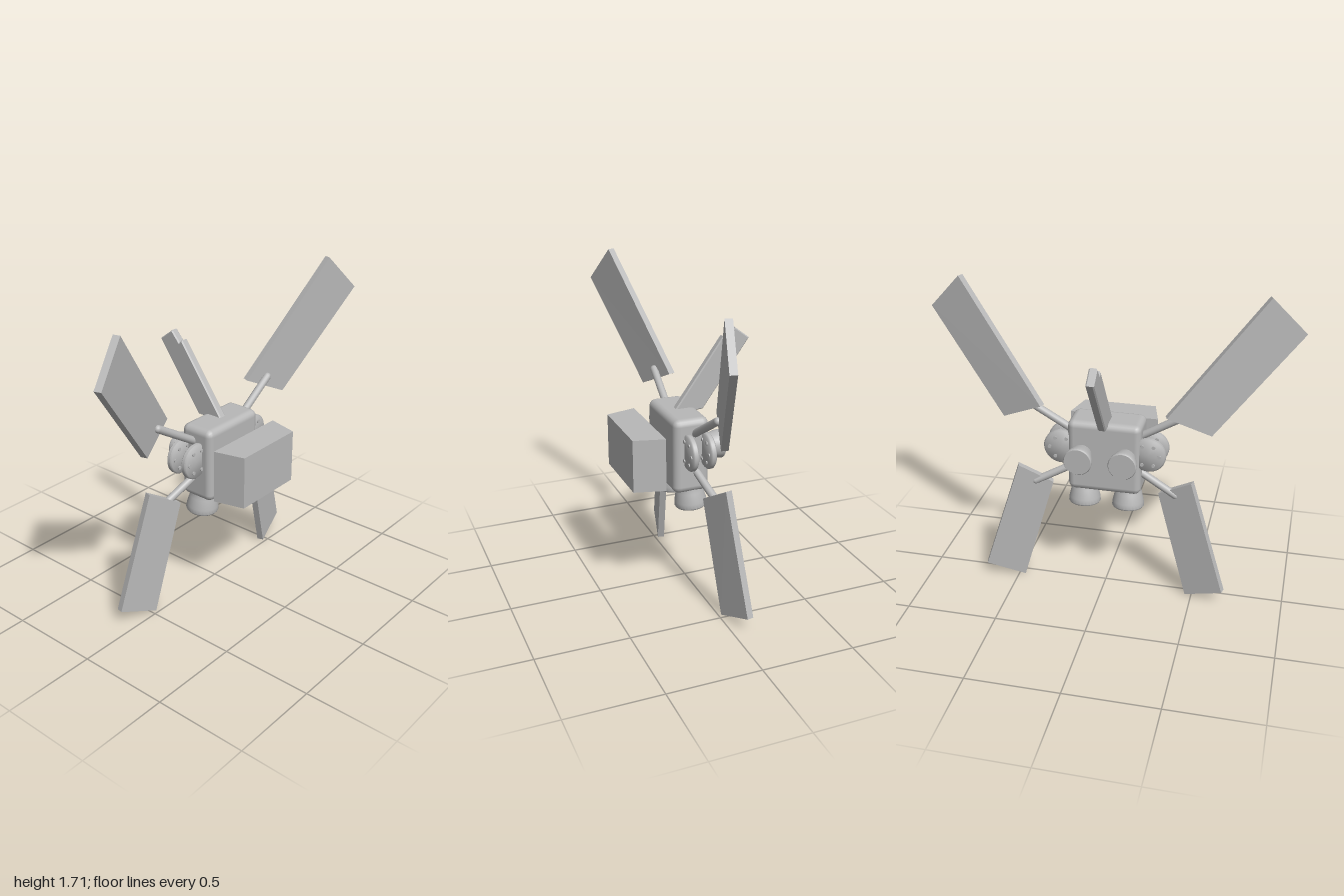
import * as THREE from 'three';
import { toCreasedNormals } from 'three/addons/utils/BufferGeometryUtils.js';
import { RoundedBoxGeometry } from 'three/addons/geometries/RoundedBoxGeometry.js';

const V = (x, y, z) => new THREE.Vector3(x, y, z);

// Flat slab behind four front corners (counter-clockwise seen from the front)
function slab(corners, thickness) {
  const [a, b, c] = corners;
  const n = b.clone().sub(a).cross(c.clone().sub(b)).normalize();
  const back = corners.map(p => p.clone().addScaledVector(n, -thickness));
  const points = [];
  const quad = (p, q, r, s) => points.push(p, q, r, p, r, s);
  quad(...corners);
  quad(back[3], back[2], back[1], back[0]);
  for (let i = 0; i < 4; i++) {
    const j = (i + 1) % 4;
    quad(corners[i], back[i], back[j], corners[j]);
  }
  const geo = new THREE.BufferGeometry().setFromPoints(points);
  geo.computeVertexNormals();
  return geo;
}

// Bell nozzle: narrow base at the origin, wide exit at -h on y
function nozzle(r0, r1, h) {
  const profile = [
    [0, -h], [r1 * 0.94, -h], [r1, -h * 0.93], [r1 * 0.97, -h * 0.7],
    [r1 * 0.35 + r0 * 0.65, -h * 0.22], [r0, 0], [r0, 0.03], [0, 0.03],
  ].map(([r, y]) => new THREE.Vector2(r, y));
  return toCreasedNormals(new THREE.LatheGeometry(profile, 28), 0.7);
}

// Round-ended rod between two points
function rod(a, b, radius) {
  const dir = b.clone().sub(a);
  const geo = new THREE.CapsuleGeometry(radius, dir.length(), 6, 14);
  geo.applyQuaternion(new THREE.Quaternion().setFromUnitVectors(V(0, 1, 0), dir.normalize()));
  const mid = a.clone().add(b).multiplyScalar(0.5);
  return geo.translate(mid.x, mid.y, mid.z);
}

export function createModel() {
  const model = new THREE.Group();
  const grey = new THREE.MeshStandardMaterial({ color: 0xb8b8b8 });
  grey.name = 'grey';

  const add = (name, geo, x = 0, y = 0, z = 0, parent = model) => {
    const mesh = new THREE.Mesh(geo, grey);
    mesh.name = name;
    mesh.position.set(x, y, z);
    parent.add(mesh);
    return mesh;
  };

  // Central body with softened edges
  add('body', new RoundedBoxGeometry(0.4, 0.41, 0.197, 2, 0.036), 0, 0.807, 0.038);

  // Floating front block, narrower towards the front
  const block = new THREE.BoxGeometry(0.49, 0.287, 0.165);
  const pos = block.attributes.position;
  for (let i = 0; i < pos.count; i++) {
    if (pos.getZ(i) > 0) pos.setX(i, pos.getX(i) * 0.83);
  }
  block.computeVertexNormals();
  add('frontBlock', block, 0, 0.804, 0.283);

  // Swept-back fin on top, drawn as (-z, y)
  const finShape = new THREE.Shape([
    [0.097, 0.993], [0.36, 1.359], [0.278, 1.422], [0.228, 1.364],
    [0.21, 1.38], [-0.065, 1.0], [-0.065, 0.985],
  ].map(([u, v]) => new THREE.Vector2(u, v)));
  const fin = new THREE.ExtrudeGeometry(finShape, {
    depth: 0.03, bevelEnabled: true, bevelThickness: 0.007,
    bevelSize: 0.006, bevelOffset: -0.006, bevelSegments: 1,
  });
  fin.translate(0, 0, -0.015).rotateY(Math.PI / 2);
  add('topFin', fin);

  // Everything paired left and right
  for (const side of [1, -1]) {
    const tag = side > 0 ? 'left' : 'right';
    const at = (x, y, z) => V(side * x, y, z);
    const panel = corners => slab(side > 0 ? corners : corners.reverse(), 0.037);

    // Wing panels
    add(tag + 'UpperWing', panel([
      at(0.805, 1.71, 0.142), at(0.325, 1.088, -0.04),
      at(0.553, 0.976, 0.035), at(0.988, 1.515, 0.198),
    ]));
    add(tag + 'LowerWing', panel([
      at(0.484, 0.717, -0.027), at(0.302, 0.61, 0.02),
      at(0.473, 0.002, -0.016), at(0.682, 0.08, -0.07),
    ]));

    // Wing struts
    add(tag + 'UpperStrut', rod(at(0.17, 0.92, 0.02), at(0.445, 1.088, 0.006), 0.021));
    add(tag + 'LowerStrut', rod(at(0.17, 0.727, 0.015), at(0.39, 0.615, -0.025), 0.021));

    // Pair of bolted side discs
    for (const z of [0.067, -0.031]) {
      const hub = new THREE.Group();
      hub.name = tag + (z > 0 ? 'FrontDisc' : 'RearDisc');
      hub.position.set(side * 0.237, 0.847, z);
      model.add(hub);
      const profile = [[0, -0.016], [0.088, -0.016], [0.096, -0.008], [0.096, 0.008], [0.088, 0.016], [0, 0.016]]
        .map(([r, y]) => new THREE.Vector2(r, y));
      const disc = toCreasedNormals(new THREE.LatheGeometry(profile, 36), 0.9);
      add('disc', disc.rotateX(Math.PI / 2), 0, 0, 0, hub);
      for (let i = 0; i < 6; i++) {
        const a = i * Math.PI / 3;
        const bolt = new THREE.CylinderGeometry(0.01, 0.01, 0.044, 10).rotateX(Math.PI / 2);
        add('bolt', bolt, 0.062 * Math.cos(a), 0.062 * Math.sin(a), 0, hub);
      }
    }

    // Thrusters below and behind
    add(tag + 'BottomThruster', nozzle(0.065, 0.088, 0.112), side * 0.122, 0.612, 0.025).rotation.x = 0.1;
    add(tag + 'RearThruster', nozzle(0.055, 0.077, 0.102), side * 0.12, 0.825, -0.056).rotation.x = Math.PI / 2;
  }

  return model;
}
